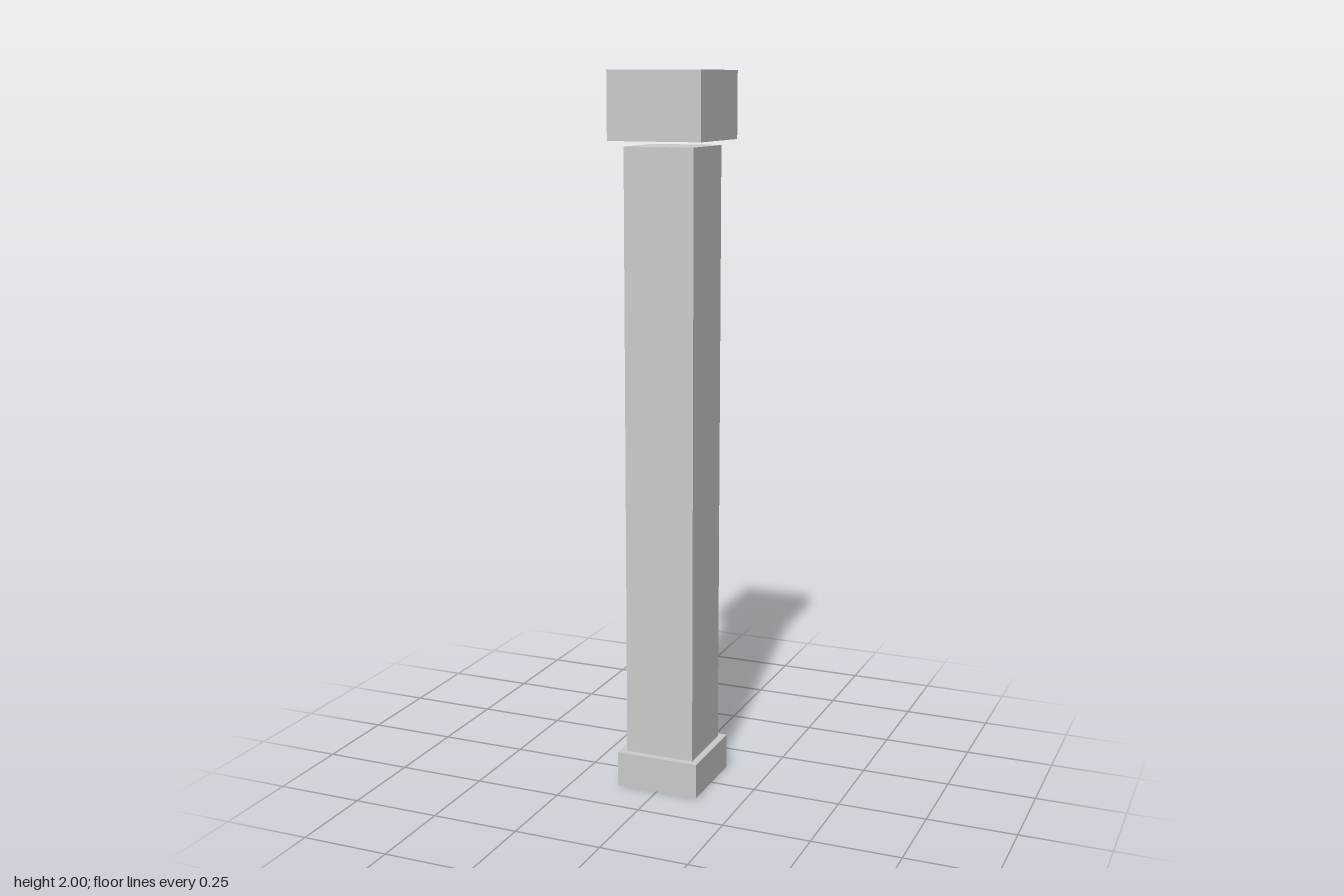
import * as THREE from 'three';

export function createModel() {
  const model = new THREE.Group();
  model.name = 'squarePillar';

  const stone = new THREE.MeshStandardMaterial({ color: 0xcccccc });
  stone.name = 'pale grey stone';

  // Square block centred on the axis, from one height to another
  const addBlock = (name, width, bottom, top) => {
    const block = new THREE.Mesh(new THREE.BoxGeometry(width, top - bottom, width), stone);
    block.name = name;
    block.position.y = (bottom + top) / 2;
    model.add(block);
  };

  addBlock('base', 0.24, 0, 0.1);
  addBlock('shaft', 0.2, 0.1, 1.802);
  // The capital sits a hair above the shaft, leaving a shadow gap
  addBlock('capital', 0.266, 1.817, 2);

  return model;
}
